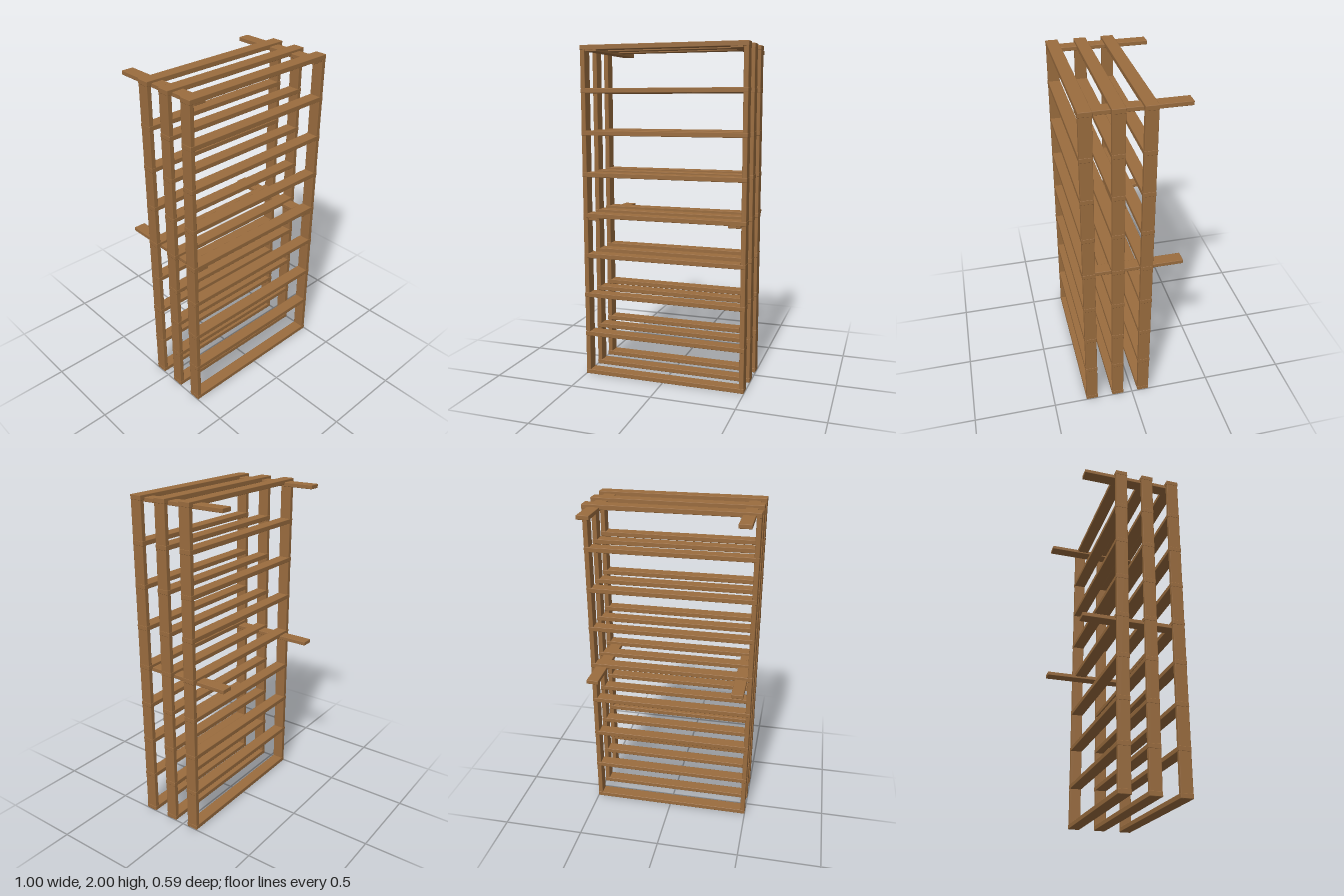
import * as THREE from 'three';
import { RoundedBoxGeometry } from 'three/addons/geometries/RoundedBoxGeometry.js';

export function createModel() {
  const group = new THREE.Group();
  const wood = new THREE.MeshStandardMaterial({ color: 0x9a6c3e });
  wood.name = 'wood';

  // A plank with slightly eased edges
  const plank = (w, h, d) => new RoundedBoxGeometry(w, h, d, 1, 0.003);
  const add = (parent, geometry, name, x, y, z) => {
    const mesh = new THREE.Mesh(geometry, wood);
    mesh.name = name;
    mesh.position.set(x, y, z);
    parent.add(mesh);
  };

  const postGeo = plank(0.028, 1.998, 0.07);
  const railGeo = plank(1, 0.028, 0.073);
  const armGeo = plank(0.072, 0.024, 0.592);

  // Three ladder frames, one behind the other
  [0.26, 0.0925, -0.073].forEach((z, i) => {
    const frame = new THREE.Group();
    frame.name = ['frontFrame', 'middleFrame', 'backFrame'][i];
    for (const side of [-1, 1]) {
      add(frame, postGeo, side > 0 ? 'leftPost' : 'rightPost', side * 0.485, 1, z);
    }
    for (let k = 0; k < 9; k++) {
      add(frame, railGeo, 'rail', 0, 0.016 + k * 0.24625, z);
    }
    group.add(frame);
  });

  // Arms joining the frames and reaching out behind
  for (const y of [0.986, 1.974]) {
    for (const side of [-1, 1]) {
      add(group, armGeo, side > 0 ? 'leftArm' : 'rightArm', side * 0.432, y, 0);
    }
  }
  return group;
}
